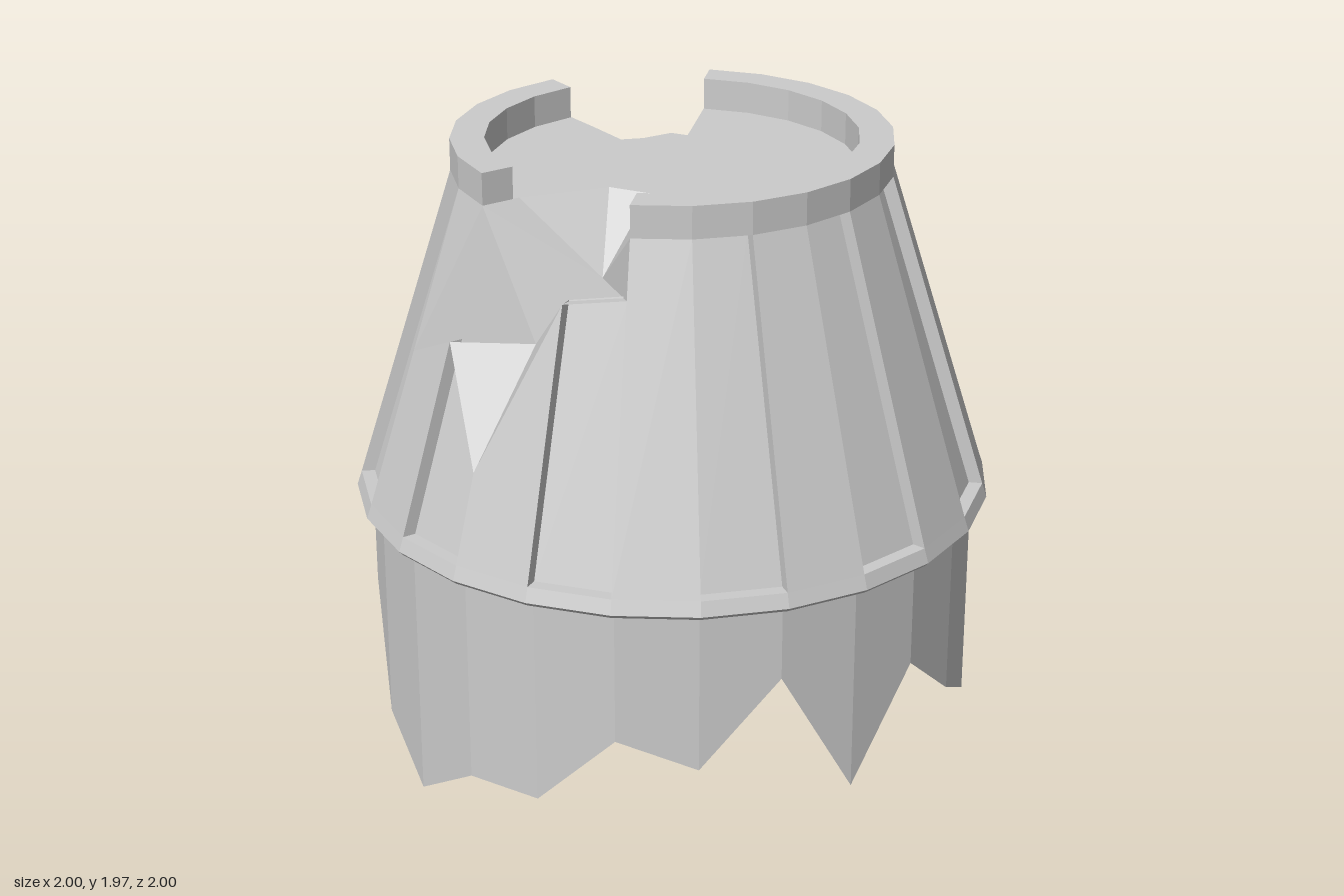
import * as THREE from 'three';

const N = 24, STEP = (Math.PI * 2) / N;
const LEDGE = 0.88, DECK = 1.87, RIM_TOP = 1.97;
const RIM_OUT = 0.675, RIM_IN = 0.57;

const mat = new THREE.MeshStandardMaterial({
  color: 0xcccccc, flatShading: true, side: THREE.DoubleSide,
});
const V = (x, y, z) => new THREE.Vector3(x, y, z);
// point on the 24-sided ring, step 0 at the front, growing towards the model's left
const polar = (i, r, y) => V(r * Math.sin(i * STEP), y, r * Math.cos(i * STEP));
// point on the sloped wall, optionally sunk inwards
const slope = (i, y, sink = 0) =>
  polar(i, RIM_OUT + ((DECK - y) * (0.985 - RIM_OUT)) / (DECK - LEDGE) - sink, y);

// Collects flat polygons as triangle fans
class Faces {
  constructor() { this.points = []; }
  add(...p) {
    for (let i = 1; i < p.length - 1; i++) this.points.push(p[0], p[i], p[i + 1]);
  }
  mesh(name) {
    const g = new THREE.BufferGeometry().setFromPoints(this.points);
    g.computeVertexNormals();
    return named(g, name);
  }
}
function named(geometry, name) {
  const m = new THREE.Mesh(geometry, mat);
  m.name = name;
  return m;
}

// Jagged lower body: straight wall with a broken bottom edge, hollowed up to a point inside
function lowerBody() {
  const heights = [
    0.58, 0.15, 0.48, 0.28, 0.15, 0.38, 0.15, 0.15, 0.15, 0.5, 0.15, 0.15,
    0.15, 0.15, 0.37, 0.35, 0.4, 0.5, 0.15, 0, 0.15, 0.15, 0.39, 0.3,
  ];
  const bottom = heights.map((y, i) => polar(i, 0.95, y));
  bottom[7].set(0.98, 0.15, -0.27);
  const hollow = V(0.06, 0.7, -0.17);
  const wall = new Faces(), under = new Faces();
  for (let i = 0; i < N; i++) {
    const j = (i + 1) % N;
    const a = polar(i, 0.95, 0.825), b = polar(j, 0.95, 0.825);
    wall.add(bottom[i], b, a);
    wall.add(bottom[i], bottom[j], b);
    under.add(hollow, bottom[j], bottom[i]);
  }
  return [wall.mesh('lowerWall'), under.mesh('brokenUnderside')];
}

// Projecting lip between the lower body and the sloped wall
function lip() {
  const profile = [[0.95, 0.822], [0.988, 0.822], [1, 0.835], [0.985, LEDGE], [0.92, LEDGE]];
  return named(new THREE.LatheGeometry(profile.map(([r, y]) => new THREE.Vector2(r, y)), N), 'lip');
}

// Broken edge of the front gap, on the sloped wall
const edge = { 18: 1.37, 19: 1.47, 20: 1.15, 21: 1.67, 22: 1.7 };
// Lower corners of the back gap
const chip = slope(10, 1.04, 0.01), backFoot = V(0.24, LEDGE, -0.9);

// Alternating flush and sunken panels, cut short at the two gaps
function panels() {
  const flush = new Faces(), sunk = new Faces();
  for (let i = 0; i < N; i++) {
    const j = i + 1;
    if (i === 11 || i === 12) continue;
    if (i === 10) {
      flush.add(slope(i, LEDGE), backFoot, chip);
      continue;
    }
    if (i === 18) {
      flush.add(slope(i, LEDGE), slope(j, LEDGE), slope(j, edge[19]), slope(i, edge[18]));
      flush.add(slope(i, edge[18]), slope(j, DECK), slope(i, DECK));
      continue;
    }
    const broken = i >= 19 && i <= 21;
    const yi = broken ? edge[i] : DECK, yj = broken ? edge[j] : DECK;
    const a = slope(i, LEDGE), b = slope(j, LEDGE), c = slope(j, yj), d = slope(i, yi);
    if (i % 2 === 0) {
      flush.add(a, b, c, d);
      continue;
    }
    const s = 0.042;
    const a2 = slope(i, LEDGE, s), b2 = slope(j, LEDGE, s);
    const c2 = slope(j, yj, s), d2 = slope(i, yi, s);
    sunk.add(a2, b2, c2, d2);
    sunk.add(a, a2, d2, d);
    sunk.add(b2, b, c, c2);
    // underside of the deck, closing an unbroken recess
    if (!broken) sunk.add(d2, c2, c, d);
  }
  return [flush.mesh('flushPanels'), sunk.mesh('sunkenPanels')];
}

// Outlines of the two gaps where they bite into the deck
const backBite = [[0.14, -0.25], [0.1, -0.29], [0, -0.27], [-0.07, -0.28], [-0.11, -0.43]]
  .map(([x, z]) => V(x, DECK, z));
const frontBite = [[-0.53, 0.14], [-0.25, 0.14], [-0.15, 0.24], [-0.21, 0.34], [-0.29, 0.47]]
  .map(([x, z]) => V(x, DECK, z));

function deck() {
  const outline = [];
  for (let i = -2; i <= 10; i++) outline.push(polar(i, RIM_OUT, DECK));
  outline.push(...backBite);
  for (let i = 13; i <= 19; i++) outline.push(polar(i, RIM_OUT, DECK));
  outline.push(...frontBite);
  const shape = new THREE.Shape(outline.map((p) => new THREE.Vector2(p.x, -p.z)));
  const g = new THREE.ShapeGeometry(shape);
  g.rotateX(-Math.PI / 2).translate(0, DECK, 0);
  return named(g, 'deck');
}

// Raised rim in two arcs, with capped ends
function rimArc(start, count, name) {
  const group = new THREE.Group();
  group.name = name;
  const section = [[RIM_IN, DECK], [RIM_OUT, DECK], [RIM_OUT, RIM_TOP], [RIM_IN, RIM_TOP]];
  const profile = [...section, section[0]].map(([r, y]) => new THREE.Vector2(r, y));
  group.add(named(new THREE.LatheGeometry(profile, count, start * STEP, count * STEP), 'rimBand'));
  const caps = new Faces();
  caps.add(...section.map(([r, y]) => polar(start, r, y)));
  caps.add(...section.map(([r, y]) => polar(start + count, r, y)).reverse());
  group.add(caps.mesh('rimEnds'));
  return group;
}

// Deep break at the back, running from the deck down to the lip
function backBreak() {
  const f = new Faces();
  const rimL = polar(10, RIM_OUT, DECK), rimR = polar(13, RIM_OUT, DECK);
  const baseM = V(0, LEDGE, -0.93), baseR = V(-0.24, LEDGE, -0.9);
  const A = V(-0.09, 1.36, -0.77), C = V(0.23, 1.44, -0.64);
  const D = V(-0.11, 1.6, -0.43), G = V(0.1, 1.62, -0.35);
  const [f5, f4, f3, f2, f1] = backBite;
  f.add(rimL, chip, backFoot, C);
  f.add(backFoot, A, C);
  f.add(backFoot, baseM, A);
  f.add(baseM, baseR, A);
  f.add(A, D, C);
  f.add(C, D, G);
  f.add(baseR, slope(13, LEDGE), rimR);
  f.add(baseR, rimR, A);
  f.add(rimR, D, A);
  f.add(rimR, f1, D);
  f.add(D, f1, f2, f3);
  f.add(D, f3, G);
  f.add(G, f3, f4, f5);
  f.add(G, f5, C);
  f.add(f5, rimL, C);
  return f.mesh('backBreak');
}

// Shallower break at the front, on the model's right
function frontBreak() {
  const f = new Faces();
  const P = V(-0.32, 1.64, 0.28), Q = V(-0.56, 1.5, 0.38);
  const rimA = polar(19, RIM_OUT, DECK), rimB = polar(22, RIM_OUT, DECK);
  const e = (i) => slope(i, edge[i]);
  f.add(Q, rimA, e(18), e(19), e(20), e(21), P, rimA);
  f.add(P, e(21), e(22), rimB, ...[...frontBite].reverse(), rimA);
  return f.mesh('frontBreak');
}

export function createModel() {
  const model = new THREE.Group();
  model.name = 'brokenTowerTop';
  model.add(...lowerBody(), lip(), ...panels(), deck());
  model.add(rimArc(-2, 12, 'rimLeft'), rimArc(13, 6, 'rimRight'));
  model.add(backBreak(), frontBreak());
  return model;
}
